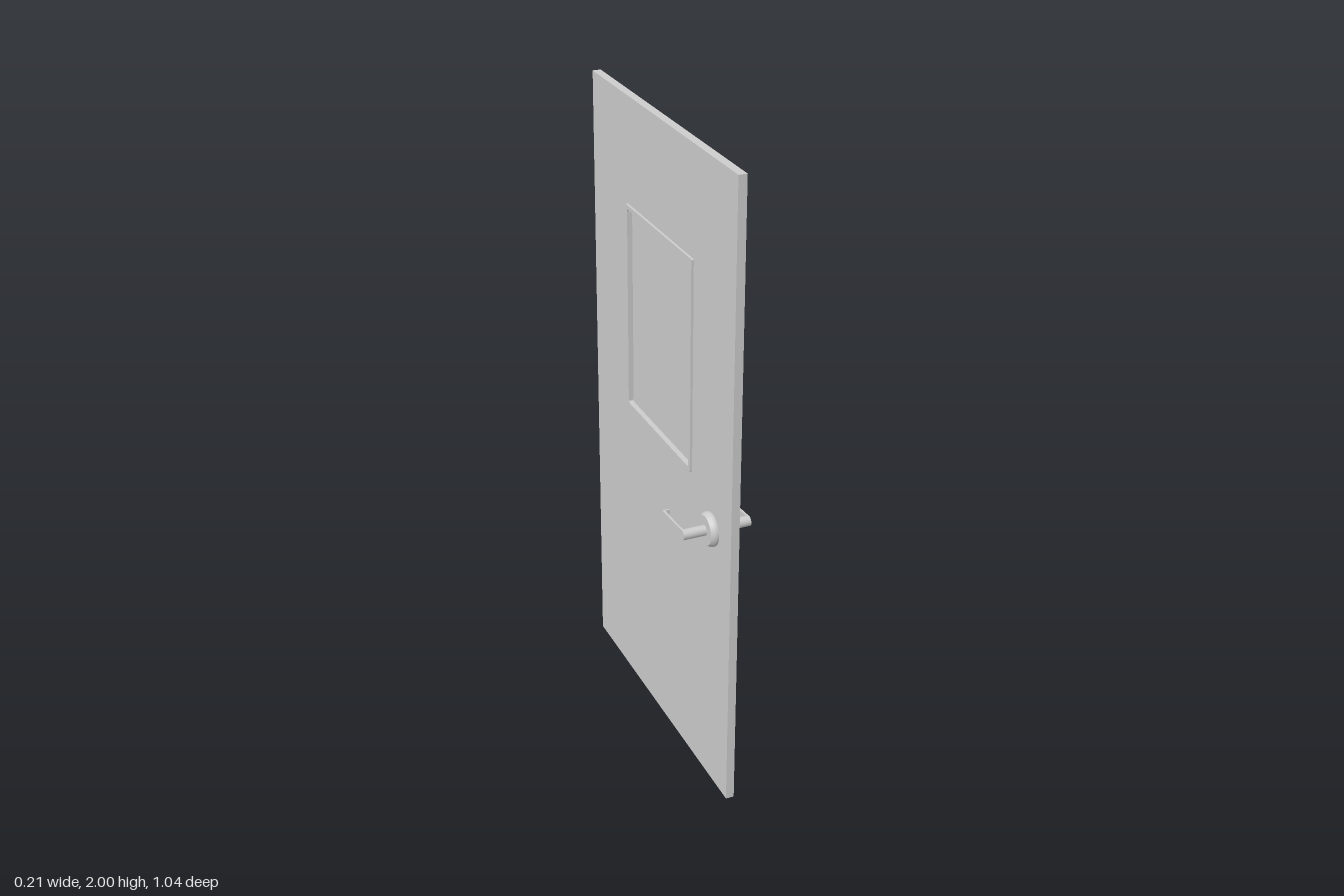
import * as THREE from 'three';

const material = new THREE.MeshStandardMaterial({ color: 0xcccccc });

function add(parent, name, geometry) {
  const mesh = new THREE.Mesh(geometry, material);
  mesh.name = name;
  parent.add(mesh);
  return mesh;
}

// Rectangle centred on (0, cy) with rounded corners
function roundedRect(path, w, h, cy, r) {
  const x = w / 2, t = cy + h / 2, b = cy - h / 2;
  path.moveTo(-x + r, b);
  path.lineTo(x - r, b);
  path.absarc(x - r, b + r, r, -Math.PI / 2, 0);
  path.lineTo(x, t - r);
  path.absarc(x - r, t - r, r, 0, Math.PI / 2);
  path.lineTo(-x + r, t);
  path.absarc(-x + r, t - r, r, Math.PI / 2, Math.PI);
  path.lineTo(-x, b + r);
  path.absarc(-x + r, b + r, r, Math.PI, Math.PI * 1.5);
  return path;
}

// Plate drawn in the z-y plane, with its thickness centred on x = 0
function plate(shape, thickness) {
  const g = new THREE.ExtrudeGeometry(shape, { depth: thickness, bevelEnabled: false, curveSegments: 8 });
  g.translate(0, 0, -thickness / 2);
  g.rotateY(-Math.PI / 2);
  return g;
}

// One lever handle; side is +1 or -1 along x
function createHandle(side) {
  const handle = new THREE.Group();
  handle.name = side > 0 ? 'leftHandle' : 'rightHandle';
  handle.position.set(0, 0.885, 0.385);

  // Round rose with a softened rim
  const profile = [[0.052, 0.012], [0.053, 0.018], [0.052, 0.025], [0.047, 0.033], [0.045, 0.035]]
    .map(([r, h]) => new THREE.Vector2(r, h));
  add(handle, 'rose', new THREE.LatheGeometry(profile, 40)).rotation.z = -side * Math.PI / 2;
  const face = add(handle, 'roseFace', new THREE.CircleGeometry(0.045, 40));
  face.rotation.y = side * Math.PI / 2;
  face.position.x = side * 0.035;

  // Round neck out to the lever
  const neck = add(handle, 'neck', new THREE.CylinderGeometry(0.016, 0.016, 0.077, 28));
  neck.rotation.z = Math.PI / 2;
  neck.position.x = side * 0.0685;

  // Flat tapering lever
  const s = new THREE.Shape();
  s.absarc(0, 0, 0.0155, Math.PI / 2, -Math.PI / 2, false);
  s.moveTo(0, 0.0155);
  s.absarc(0, 0, 0.0155, Math.PI / 2, -Math.PI / 2, true);
  const lever = new THREE.Shape();
  lever.moveTo(0, 0.0155);
  lever.absarc(0, 0, 0.0155, Math.PI / 2, -Math.PI / 2, true);
  lever.quadraticCurveTo(-0.05, -0.013, -0.085, -0.011);
  lever.lineTo(-0.142, -0.008);
  lever.lineTo(-0.142, 0.007);
  lever.quadraticCurveTo(-0.07, 0.008, 0, 0.0155);
  add(handle, 'lever', plate(lever, 0.007)).position.x = side * 0.1035;

  // Short return at the lever tip
  add(handle, 'leverReturn', new THREE.BoxGeometry(0.022, 0.015, 0.005))
    .position.set(side * 0.096, -0.0005, -0.1405);
  return handle;
}

export function createModel() {
  const door = new THREE.Group();
  door.name = 'door';

  // Door leaf with the window opening
  const leaf = new THREE.Shape();
  leaf.moveTo(-0.518, 0);
  leaf.lineTo(0.518, 0);
  leaf.lineTo(0.518, 2);
  leaf.lineTo(-0.518, 2);
  leaf.closePath();
  leaf.holes.push(roundedRect(new THREE.Path(), 0.464, 0.644, 1.335, 0.008));
  add(door, 'leaf', plate(leaf, 0.026));

  // Window trim standing proud on both faces
  const trim = roundedRect(new THREE.Shape(), 0.486, 0.668, 1.335, 0.004);
  trim.holes.push(roundedRect(new THREE.Path(), 0.462, 0.642, 1.335, 0.008));
  add(door, 'windowTrim', plate(trim, 0.041));

  // Recessed pane
  add(door, 'windowPane', new THREE.BoxGeometry(0.008, 0.648, 0.468)).position.y = 1.335;

  for (const side of [1, -1]) door.add(createHandle(side));
  return door;
}
